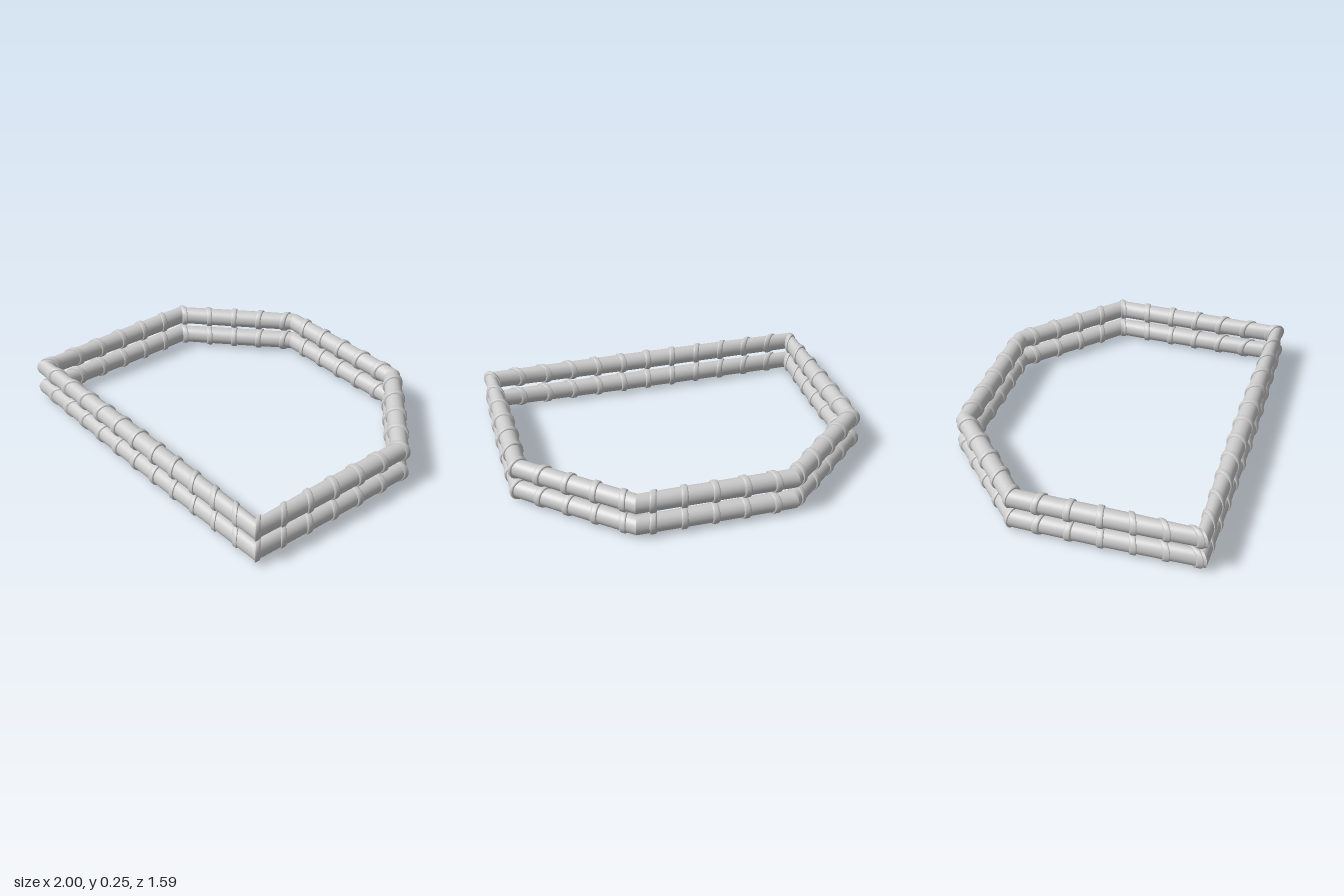
import * as THREE from 'three';

// Outline of one ring: six corners as [x, z]
const corners = [[-0.942, 0.733], [0.942, 0.733], [0.942, -0.25], [0.42, -0.735], [-0.42, -0.735], [-0.942, -0.25]]
  .map(([x, z]) => new THREE.Vector3(x, 0, z));
const N = corners.length;
const TUBE_R = 0.051, BAND_R = 0.06, SIDES = 32, BANDS = 38;

const at = (list, i) => list[(i + N) % N];
const dirs = corners.map((c, i) => at(corners, i + 1).clone().sub(c).normalize());
const mitres = corners.map((c, i) => at(dirs, i - 1).clone().add(dirs[i]).normalize());
const starts = [0];
corners.forEach((c, i) => starts.push(starts[i] + c.distanceTo(at(corners, i + 1))));
const total = starts[N];

// Round cross-section at distance s; its plane turns steadily from mitre to mitre
function section(s, radius) {
  s = ((s % total) + total) % total;
  let i = 0;
  while (i < N - 1 && s >= starts[i + 1]) i++;
  const t = (s - starts[i]) / (starts[i + 1] - starts[i]);
  const center = corners[i].clone().lerp(at(corners, i + 1), t);
  const m = mitres[i].clone().lerp(at(mitres, i + 1), t).normalize();
  const out = new THREE.Vector3(-m.z, 0, m.x);
  return Array.from({ length: SIDES + 1 }, (_, j) => {
    const a = ((j % SIDES) / SIDES) * Math.PI * 2;
    return center.clone().addScaledVector(out, radius * Math.cos(a)).setY(radius * Math.sin(a));
  });
}

// Skin through a list of [distance, radius] stations
function loft(stations) {
  const pos = [], index = [];
  stations.forEach(([s, r]) => section(s, r).slice(0, SIDES).forEach((p) => pos.push(p.x, p.y, p.z)));
  for (let i = 0; i < stations.length - 1; i++) {
    for (let j = 0; j < SIDES; j++) {
      const k = (j + 1) % SIDES;
      const a = i * SIDES + j, b = a + SIDES, c = i * SIDES + k, d = c + SIDES;
      index.push(a, b, c, b, d, c);
    }
  }
  const geo = new THREE.BufferGeometry();
  geo.setAttribute('position', new THREE.Float32BufferAttribute(pos, 3));
  geo.setIndex(index);
  geo.computeVertexNormals();
  return geo;
}

// Raised band: a low rounded bulge around the tube
function bandStations(mid) {
  const half = 0.018;
  const profile = [[-1, TUBE_R - 0.003], [-0.95, 0.056], [-0.75, 0.059], [-0.4, BAND_R], [0, BAND_R],
    [0.4, BAND_R], [0.75, 0.059], [0.95, 0.056], [1, TUBE_R - 0.003]];
  return profile.map(([u, r]) => [mid + u * half, r]);
}

export function createModel() {
  const model = new THREE.Group();
  model.name = 'doubleRingFrame';
  const material = new THREE.MeshStandardMaterial({ color: 0xcccccc, side: THREE.DoubleSide });

  // Straight tubes, one per side of the outline
  const tubes = corners.map((_, i) => loft(Array.from({ length: 17 }, (_, k) =>
    [THREE.MathUtils.lerp(starts[i], starts[i + 1] - 1e-6, k / 16), TUBE_R])));

  // Evenly spaced bands along the whole loop
  const bands = Array.from({ length: BANDS }, (_, k) => loft(bandStations(-0.035 + (k * total) / BANDS)));

  // The same ring twice, one above the other
  [['lowerRing', 0.06], ['upperRing', 0.192]].forEach(([name, y]) => {
    const ring = new THREE.Group();
    ring.name = name;
    ring.position.y = y;
    const add = (geo, label) => {
      const mesh = new THREE.Mesh(geo, material);
      mesh.name = label;
      ring.add(mesh);
    };
    tubes.forEach((g, i) => add(g, `tube${i + 1}`));
    bands.forEach((g, i) => add(g, `band${i + 1}`));
    model.add(ring);
  });
  return model;
}
